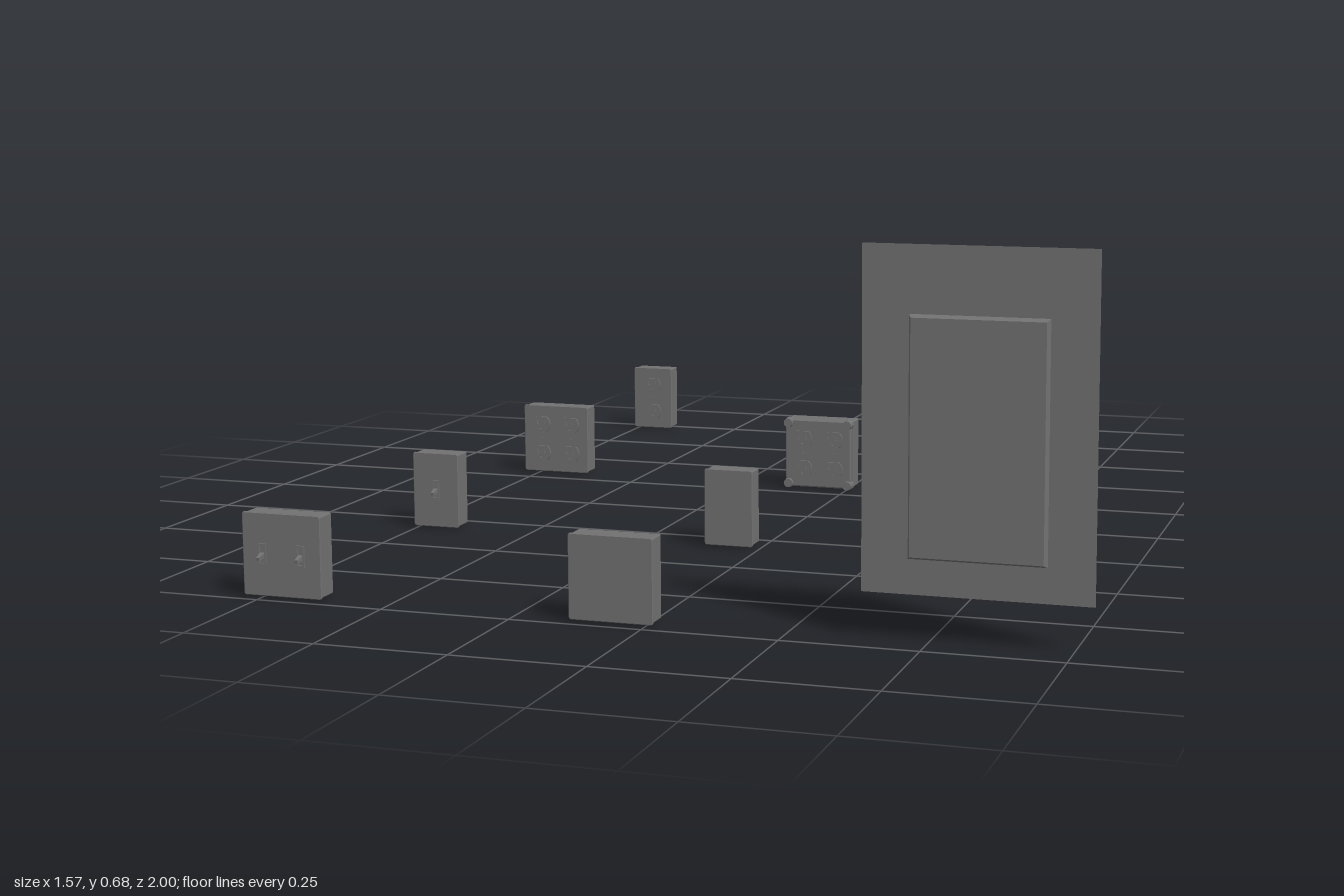
import * as THREE from 'three';

const grey = new THREE.MeshStandardMaterial({ color: 0x717171, side: THREE.DoubleSide, flatShading: true });
const MID = 0.081; // height of every box centre
const DEPTH = 0.042; // depth of the box walls
const FRONT = DEPTH + 0.005; // front of the cover plate

function add(parent, name, geometry, x = 0, y = 0, z = 0) {
  const mesh = new THREE.Mesh(geometry, grey);
  mesh.name = name;
  mesh.position.set(x, y, z);
  parent.add(mesh);
  return mesh;
}

// Rectangle with small rounded corners, centred on the origin
function roundedRect(w, h, r, Type = THREE.Shape) {
  const s = new Type(), a = w / 2 - r, b = h / 2 - r;
  s.absarc(a, b, r, 0, Math.PI / 2);
  s.absarc(-a, b, r, Math.PI / 2, Math.PI);
  s.absarc(-a, -b, r, Math.PI, Math.PI * 1.5);
  s.absarc(a, -b, r, Math.PI * 1.5, Math.PI * 2);
  s.closePath();
  return s;
}

function extrude(shape, depth, bevel = 0, curveSegments = 4) {
  return new THREE.ExtrudeGeometry(shape, {
    depth, curveSegments, bevelEnabled: bevel > 0,
    bevelThickness: bevel, bevelSize: bevel, bevelOffset: -bevel, bevelSegments: 1,
  });
}

// Open-backed wall box with a bevelled cover plate; its back lies at z = 0
function wallBox(name, w, h = 0.156) {
  const g = new THREE.Group();
  g.name = name;
  const walls = roundedRect(w - 0.004, h - 0.004, 0.003);
  walls.holes.push(roundedRect(w - 0.008, h - 0.008, 0.002, THREE.Path));
  add(g, 'boxWalls', extrude(walls, DEPTH));
  add(g, 'coverPlate', extrude(roundedRect(w, h, 0.005), 0.002, 0.0015), 0, 0, DEPTH + 0.0015);
  return g;
}

// Collar and tapered lever
function addSwitch(g, x) {
  const collar = roundedRect(0.016, 0.042, 0.001);
  collar.holes.push(roundedRect(0.01, 0.032, 0.001, THREE.Path));
  add(g, 'switchCollar', extrude(collar, 0.004), x, 0, FRONT - 0.001);
  const lever = new THREE.CylinderGeometry(0.004, 0.008, 0.024, 4, 1);
  lever.rotateY(Math.PI / 4);
  lever.rotateX(Math.PI / 2);
  add(g, 'switchLever', lever, x, -0.003, DEPTH + 0.011).rotation.x = 0.2;
}

// Round socket face, flattened above and below, with three contact holes
function addSocket(g, x, y, front) {
  const r = 0.022, a = 0.9, s = new THREE.Shape();
  s.absarc(0, 0, r, -a, a);
  s.absarc(0, 0, r, Math.PI - a, Math.PI + a);
  s.closePath();
  for (const side of [-1, 1]) {
    const slot = new THREE.Path(), c = side * 0.0085;
    slot.moveTo(c - 0.0015, 0).lineTo(c - 0.0015, 0.009).lineTo(c + 0.0015, 0.009).lineTo(c + 0.0015, 0).closePath();
    s.holes.push(slot);
  }
  const earth = new THREE.Path();
  earth.absarc(0, -0.009, 0.003, 0, Math.PI * 2);
  s.holes.push(earth);
  // The body passes through the plate and shows inside the box
  const back = DEPTH - 0.004;
  add(g, 'socketFace', extrude(s, front + 0.004 - back, 0, 10), x, y, back);
}

function addSocketPairs(g, columns, front) {
  for (const x of columns) {
    for (const y of [-0.034, 0.034]) addSocket(g, x, y, front);
    add(g, 'coverScrew', new THREE.CylinderGeometry(0.003, 0.003, 0.003, 8).rotateX(Math.PI / 2), x, 0, front + 0.001);
  }
}

// Flat flange with a shallow pressed-out door set low in it, open behind
function panel() {
  const g = new THREE.Group();
  g.name = 'breakerPanel';
  const doorY = -0.028, halfW = 0.121, halfH = 0.21;
  const flange = roundedRect(0.406, 0.6, 0.001);
  const opening = [[-1, -1], [-1, 1], [1, 1], [1, -1]].map(([x, y]) => new THREE.Vector2(x * halfW, y * halfH + doorY));
  flange.holes.push(new THREE.Path(opening));
  add(g, 'panelFlange', new THREE.ShapeGeometry(flange, 2));
  // Sloping rim
  const rim = new THREE.CylinderGeometry(1, 1, 0.011, 4, 1, true);
  rim.rotateY(Math.PI / 4);
  rim.rotateX(Math.PI / 2);
  const p = rim.attributes.position;
  for (let i = 0; i < p.count; i++) {
    const inset = p.getZ(i) > 0 ? 0.005 : 0;
    p.setX(i, Math.sign(p.getX(i)) * (halfW - inset));
    p.setY(i, Math.sign(p.getY(i)) * (halfH - inset));
  }
  add(g, 'doorRim', rim, 0, doorY, 0.0055);
  add(g, 'panelDoor', new THREE.PlaneGeometry(0.232, 0.41), 0, doorY, 0.011);
  return g;
}

export function createModel() {
  const model = new THREE.Group();
  model.name = 'electricalFittings';
  const place = (g, x, z, y = MID) => {
    g.position.set(x, y, z);
    model.add(g);
    return g;
  };
  const rows = [0.934, 0.289, -0.355, -1], left = -0.707, mid = -0.064;
  const wide = 0.159, narrow = 0.102;

  // Switch boxes
  const doubleSwitch = place(wallBox('doubleSwitchBox', wide), left, rows[0]);
  for (const x of [-0.039, 0.039]) addSwitch(doubleSwitch, x);
  addSwitch(place(wallBox('singleSwitchBox', narrow), left, rows[1]), 0);

  // Blank boxes
  place(wallBox('doubleBlankBox', wide), mid, rows[0]);
  place(wallBox('singleBlankBox', narrow), mid, rows[1]);

  // Socket boxes
  addSocketPairs(place(wallBox('doubleSocketBox', wide), left, rows[2]), [-0.036, 0.036], FRONT);
  addSocketPairs(place(wallBox('singleSocketBox', narrow), left, rows[3]), [0], FRONT);

  // Socket box with a raised cover and corner bosses
  const raised = place(wallBox('raisedSocketBox', wide), mid, rows[2]);
  add(raised, 'raisedCover', extrude(roundedRect(0.154, 0.154, 0.014), 0.01, 0.003), 0, 0, FRONT);
  addSocketPairs(raised, [-0.036, 0.036], FRONT + 0.013);
  for (const x of [-0.069, 0.069]) for (const y of [-0.069, 0.069]) {
    add(raised, 'cornerBoss', new THREE.CylinderGeometry(0.01, 0.012, 0.02, 12).rotateX(Math.PI / 2), x, y, FRONT + 0.01);
  }

  place(panel(), 0.582, rows[0], 0.38);
  return model;
}
